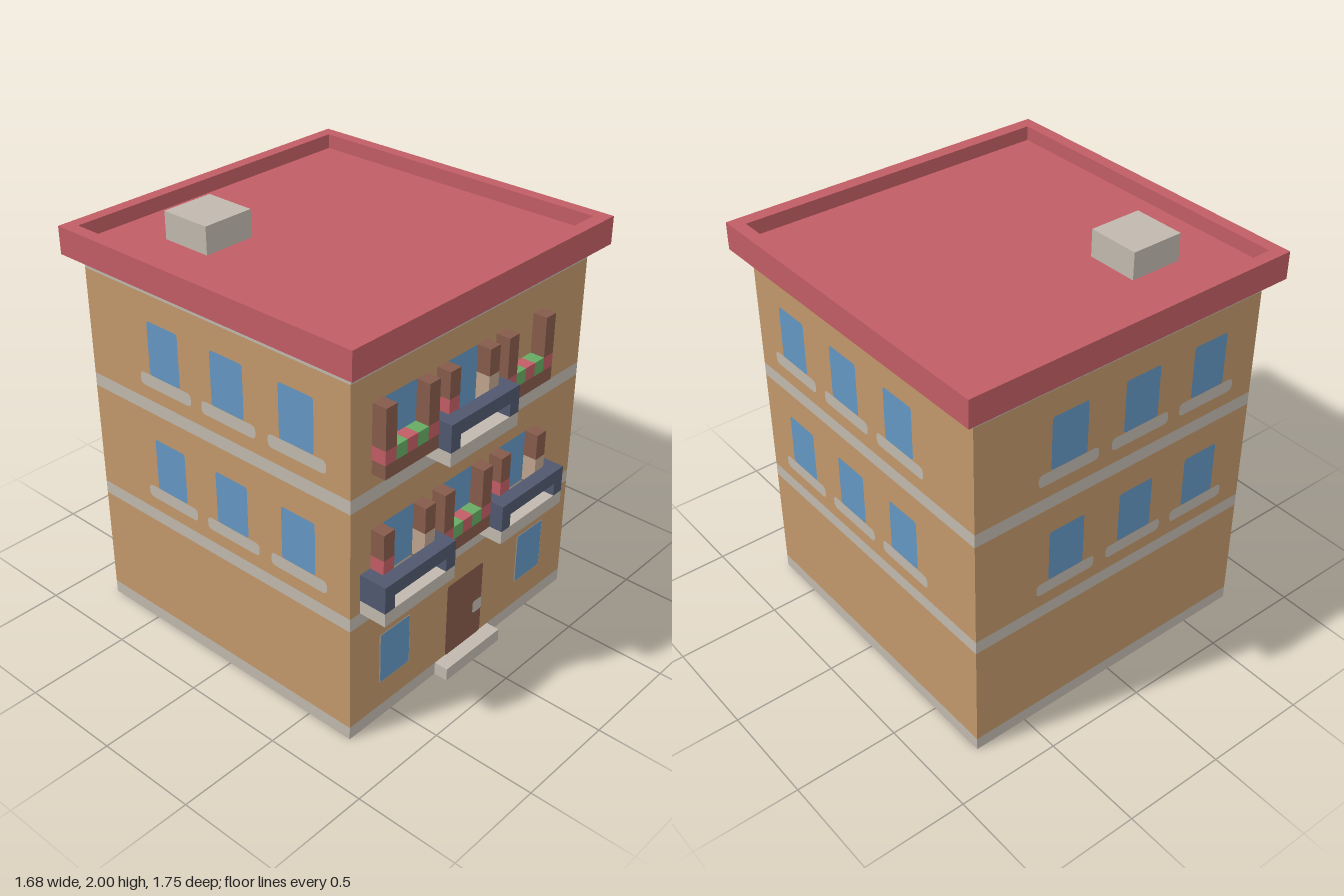
import * as THREE from 'three';

const mat = (name, color) => {
  const m = new THREE.MeshStandardMaterial({ color });
  m.name = name;
  return m;
};

export function createModel() {
  const model = new THREE.Group();
  model.name = 'apartmentBuilding';
  const wall = mat('ochre wall', 0xc1976b);
  const stone = mat('pale stone', 0xc0b8ad);
  const red = mat('red', 0xc15d64);
  const glass = mat('blue glass', 0x6496c3);
  const wood = mat('brown wood', 0x855b4b);
  const navy = mat('navy', 0x50586e);
  const green = mat('green', 0x66aa62);
  const beige = mat('beige', 0xbfa38d);

  // Box given by its lower and upper limits on each axis
  const box = (parent, name, m, x0, x1, y0, y1, z0, z1) => {
    const mesh = new THREE.Mesh(new THREE.BoxGeometry(x1 - x0, y1 - y0, z1 - z0), m);
    mesh.position.set((x0 + x1) / 2, (y0 + y1) / 2, (z0 + z1) / 2);
    mesh.name = name;
    parent.add(mesh);
  };

  // Thin rounded plate facing +z, centred on x, standing on y0
  const plate = (parent, name, m, x, y0, w, h, r, z = 0.003) => {
    const a = w / 2, s = new THREE.Shape();
    s.moveTo(-a + r, 0);
    s.lineTo(a - r, 0).quadraticCurveTo(a, 0, a, r);
    s.lineTo(a, h - r).quadraticCurveTo(a, h, a - r, h);
    s.lineTo(-a + r, h).quadraticCurveTo(-a, h, -a, h - r);
    s.lineTo(-a, r).quadraticCurveTo(-a, 0, -a + r, 0);
    const mesh = new THREE.Mesh(new THREE.ShapeGeometry(s, 4), m);
    mesh.position.set(x, y0, z);
    mesh.name = name;
    parent.add(mesh);
  };

  // Wall storeys alternating with flush stone bands
  const levels = [0, 0.065, 0.585, 0.65, 1.165, 1.23, 1.745, 1.81];
  for (let i = 0; i < levels.length - 1; i++) {
    const band = i % 2 === 0;
    box(model, band ? 'stoneBand' : 'storeyWall', band ? stone : wall,
      -0.77, 0.77, levels[i], levels[i + 1], -0.805, 0.74);
  }

  // Flat roof with raised parapet, and chimney
  box(model, 'roofSlab', red, -0.84, 0.84, 1.81, 1.87, -0.87, 0.81);
  box(model, 'parapetFront', red, -0.84, 0.84, 1.87, 1.94, 0.745, 0.81);
  box(model, 'parapetBack', red, -0.84, 0.84, 1.87, 1.94, -0.87, -0.81);
  for (const s of [-1, 1]) {
    const e = [s * 0.78, s * 0.84].sort((a, b) => a - b);
    box(model, 'parapetSide', red, e[0], e[1], 1.87, 1.94, -0.81, 0.745);
  }
  box(model, 'chimney', stone, -0.52, -0.26, 1.87, 2, -0.55, -0.295);

  // One group per facade, its local +z pointing outwards
  const facade = (name, x, z, turn) => {
    const g = new THREE.Group();
    g.name = name;
    g.position.set(x, 0, z);
    g.rotation.y = turn;
    model.add(g);
    return g;
  };
  const front = facade('frontFacade', 0, 0.74, 0);
  const sides = [
    [facade('leftFacade', 0.77, 0, Math.PI / 2), [-0.455, -0.065, 0.32]],
    [facade('rightFacade', -0.77, 0, -Math.PI / 2), [0.455, 0.065, -0.32]],
    [facade('backFacade', 0, -0.805, Math.PI), [-0.29, 0.1, 0.485]],
  ];
  const floors = [0.715, 1.298];

  // Plain windows with sills on the sides and back
  for (const [g, centres] of sides) for (const y of floors) for (const c of centres) {
    plate(g, 'window', glass, c, y + 0.064, 0.19, 0.258, 0.015);
    plate(g, 'windowSill', stone, c, y, 0.32, 0.063, 0.025);
  }

  // Front windows: shutters with either a flower box or a balcony
  floors.forEach((y, floor) => [-0.485, -0.098, 0.29].forEach((c, col) => {
    const balcony = (floor + col) % 2 === 0;
    const unit = new THREE.Group();
    unit.name = balcony ? 'balconyWindow' : 'flowerBoxWindow';
    unit.position.set(c, y, 0);
    front.add(unit);
    if (!(floor === 1 && col === 2)) plate(unit, 'window', glass, 0, 0.064, 0.195, 0.256, 0.01);
    for (const s of [-1, 1]) {
      const x0 = s < 0 ? -0.162 : 0.097, x1 = x0 + 0.065;
      box(unit, 'shutter', wood, x0, x1, balcony ? 0.195 : 0.13, 0.32, 0, 0.07);
      if (balcony) {
        box(unit, 'shutterFoot', wood, x0, x1, 0, 0.065, 0, 0.07);
        box(unit, 'shutterPanel', s < 0 ? red : beige, x0, x1, 0.065, 0.195, 0, 0.07);
        const p = s < 0 ? -0.225 : 0.165;
        box(unit, 'balconySide', navy, p, p + 0.06, 0, 0.13, 0, 0.135);
      }
    }
    if (balcony) {
      plate(unit, 'windowSill', stone, 0, 0, 0.194, 0.062, 0.01);
      box(unit, 'balconyFloor', stone, -0.225, 0.225, -0.065, 0, 0, 0.135);
      box(unit, 'balconyRail', navy, -0.165, 0.165, 0.065, 0.13, 0.07, 0.135);
    } else {
      box(unit, 'flowerBox', wood, -0.162, 0.162, 0, 0.065, 0, 0.07);
      for (let i = 0; i < 5; i++) {
        const x = -0.162 + i * 0.0648;
        box(unit, i % 2 ? 'leaves' : 'flowers', i % 2 ? green : red, x, x + 0.0648, 0.065, 0.13, 0, 0.07);
      }
    }
  }));

  // Ground floor: windows, door, handle and step
  for (const s of [-1, 1]) {
    plate(front, 'groundWindowFrame', stone, s * 0.485, 0.196, 0.2, 0.263, 0.012, 0.002);
    plate(front, 'groundWindow', glass, s * 0.485, 0.2, 0.19, 0.255, 0.012, 0.004);
  }
  plate(front, 'door', wood, 0, 0.065, 0.255, 0.39, 0.015);
  plate(front, 'doorHandle', stone, 0.095, 0.198, 0.065, 0.066, 0.015, 0.005);
  box(front, 'doorStep', stone, -0.195, 0.19, 0, 0.065, 0, 0.07);

  return model;
}
